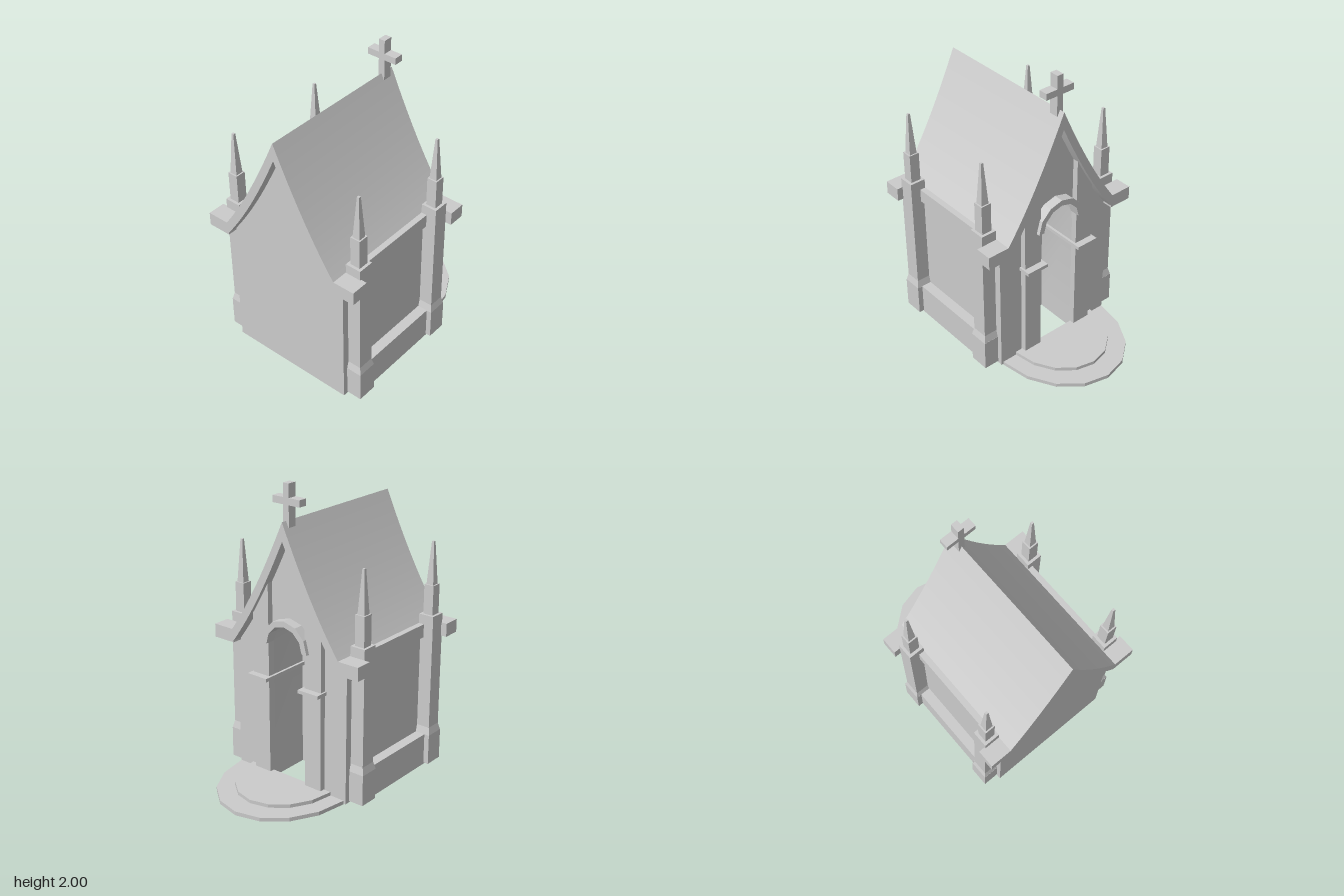
import * as THREE from 'three';
import { toCreasedNormals } from 'three/addons/utils/BufferGeometryUtils.js';

const material = new THREE.MeshStandardMaterial({ color: 0xcccccc });

// Points along the concave gable curve, from the ridge down to the eave
const SEGMENTS = 14;
const gableY = (x, ridge, mid, eave) => {
  const t = x / 0.43;
  return (1 - t) ** 2 * ridge + 2 * t * (1 - t) * mid + t * t * eave;
};
const innerY = (x) => gableY(x, 1.65, 1.18, 0.9);
const outerY = (x) => gableY(x, 1.77, 1.29, 0.99);

// Curve running from x = -0.43 to x = 0.43
function gableCurve(fn) {
  const pts = [];
  for (let i = -SEGMENTS; i <= SEGMENTS; i++) {
    const x = (0.43 * i) / SEGMENTS;
    pts.push(new THREE.Vector2(x, fn(Math.abs(x))));
  }
  return pts;
}

// Half-circle points from the right end to the left end
function archPoints(radius, springY, segments = 6) {
  const pts = [];
  for (let i = 0; i <= segments; i++) {
    const a = (Math.PI * i) / segments;
    pts.push(new THREE.Vector2(radius * Math.cos(a), springY + radius * Math.sin(a)));
  }
  return pts;
}

export function createModel() {
  const model = new THREE.Group();
  model.name = 'chapel';

  function add(name, geometry, parent = model) {
    const mesh = new THREE.Mesh(geometry, material);
    mesh.name = name;
    parent.add(mesh);
    return mesh;
  }

  // Box given by its limits on each axis
  function box(name, x0, x1, y0, y1, z0, z1, parent = model) {
    const geo = new THREE.BoxGeometry(x1 - x0, y1 - y0, z1 - z0);
    geo.translate((x0 + x1) / 2, (y0 + y1) / 2, (z0 + z1) / 2);
    return add(name, geo, parent);
  }

  // Outline in x and y, extruded from z0 to z1
  function extrude(name, points, z0, z1, parent = model) {
    const geo = new THREE.ExtrudeGeometry(new THREE.Shape(points), { depth: z1 - z0, bevelEnabled: false });
    geo.translate(0, 0, z0);
    return add(name, toCreasedNormals(geo, 0.4), parent);
  }

  // Square prism tapering from half width h0 to h1
  function taper(name, h0, h1, y0, y1, parent) {
    const geo = new THREE.CylinderGeometry(h1 * Math.SQRT2, h0 * Math.SQRT2, y1 - y0, 4).toNonIndexed();
    geo.rotateY(Math.PI / 4);
    geo.translate(0, (y0 + y1) / 2, 0);
    geo.computeVertexNormals();
    return add(name, geo, parent);
  }

  // Body: solid nave, plus an entrance bay with the arched doorway cut through
  const W = 0.445, DOOR = 0.147, SPRING = 0.96;
  const corner = (x, y) => new THREE.Vector2(x, y);
  const gable = gableCurve((x) => innerY(x) + 0.01).reverse();
  extrude('nave', [corner(-W, 0), corner(W, 0), corner(W, 0.9), ...gable, corner(-W, 0.9)], 0.06, 0.7);
  const doorway = [corner(DOOR, 0), ...archPoints(DOOR, SPRING), corner(-DOOR, 0)].reverse();
  extrude('entranceBay',
    [corner(-W, 0), ...doorway, corner(W, 0), corner(W, 0.9), ...gable, corner(-W, 0.9)], -0.23, 0.06);

  // Roof shell, overhanging both gables
  extrude('roof', [...gableCurve(innerY), ...gableCurve(outerY).reverse()], -0.3, 0.765);

  // Raised ring around the door arch
  extrude('archRing', [...archPoints(0.182, SPRING), ...archPoints(0.143, SPRING).reverse()], -0.295, -0.22);

  for (const s of [-1, 1]) {
    const span = (name, x0, x1, ...rest) => box(name, Math.min(s * x0, s * x1), Math.max(s * x0, s * x1), ...rest);

    // Eave returns at the gable ends, side plinth and cornice
    span('eaveReturn', 0.42, 0.58, 0.9, 0.99, -0.3, -0.185);
    span('eaveReturn', 0.42, 0.58, 0.9, 0.99, 0.645, 0.765);
    span('sidePlinth', 0.43, 0.515, 0, 0.22, -0.1, 0.57);
    span('sideCornice', 0.42, 0.47, 0.9, 0.99, -0.1, 0.57);

    // Door pier rising to the gable, with an impost running into the doorway
    const pier = [corner(s * DOOR, 0), corner(s * 0.275, 0)];
    for (let i = 0; i <= 4; i++) {
      const x = 0.275 - ((0.275 - DOOR) * i) / 4;
      pier.push(corner(s * x, innerY(x) + 0.01));
    }
    extrude('doorPier', pier, -0.27, -0.22);
    span('impost', 0.13, 0.287, 0.705, 0.728, -0.317, 0.06);

    // Buttresses with pinnacles
    for (const z of [-0.128, 0.6]) {
      const buttress = new THREE.Group();
      buttress.name = 'buttress';
      buttress.position.set(s * 0.485, 0, z);
      model.add(buttress);
      box('buttressBase', -0.066, 0.066, 0.01, 0.22, -0.067, 0.067, buttress);
      taper('buttressSlope', 0.066, 0.054, 0.22, 0.27, buttress);
      box('buttressShaft', -0.054, 0.054, 0.26, 1.055, -0.054, 0.054, buttress);
      box('pinnacleBlock', -0.035, 0.035, 1.05, 1.255, -0.035, 0.035, buttress);
      taper('spire', 0.026, 0.008, 1.25, 1.54, buttress);
    }
  }

  // Cross on the entrance gable
  const cross = new THREE.Group();
  cross.name = 'cross';
  model.add(cross);
  box('crossUpright', -0.022, 0.022, 1.73, 2, -0.262, -0.2, cross);
  box('crossArms', -0.105, 0.105, 1.868, 1.912, -0.262, -0.2, cross);

  // Half-oval entrance steps
  function step(name, rx, rz, y0, y1, hole) {
    const oval = (k) => archPoints(1, 0, 8).map((p) => corner(p.x * rx * k, p.y * rz * k));
    const points = hole ? [...oval(1), ...oval(hole).reverse()] : oval(1);
    const geo = new THREE.ExtrudeGeometry(new THREE.Shape(points), { depth: y1 - y0, bevelEnabled: false });
    geo.rotateX(-Math.PI / 2);
    geo.translate(0, y0, -0.237);
    add(name, geo);
  }
  step('lowerStep', 0.435, 0.53, 0, 0.026, 0.73);
  step('upperStep', 0.33, 0.396, 0.022, 0.05);

  return model;
}
